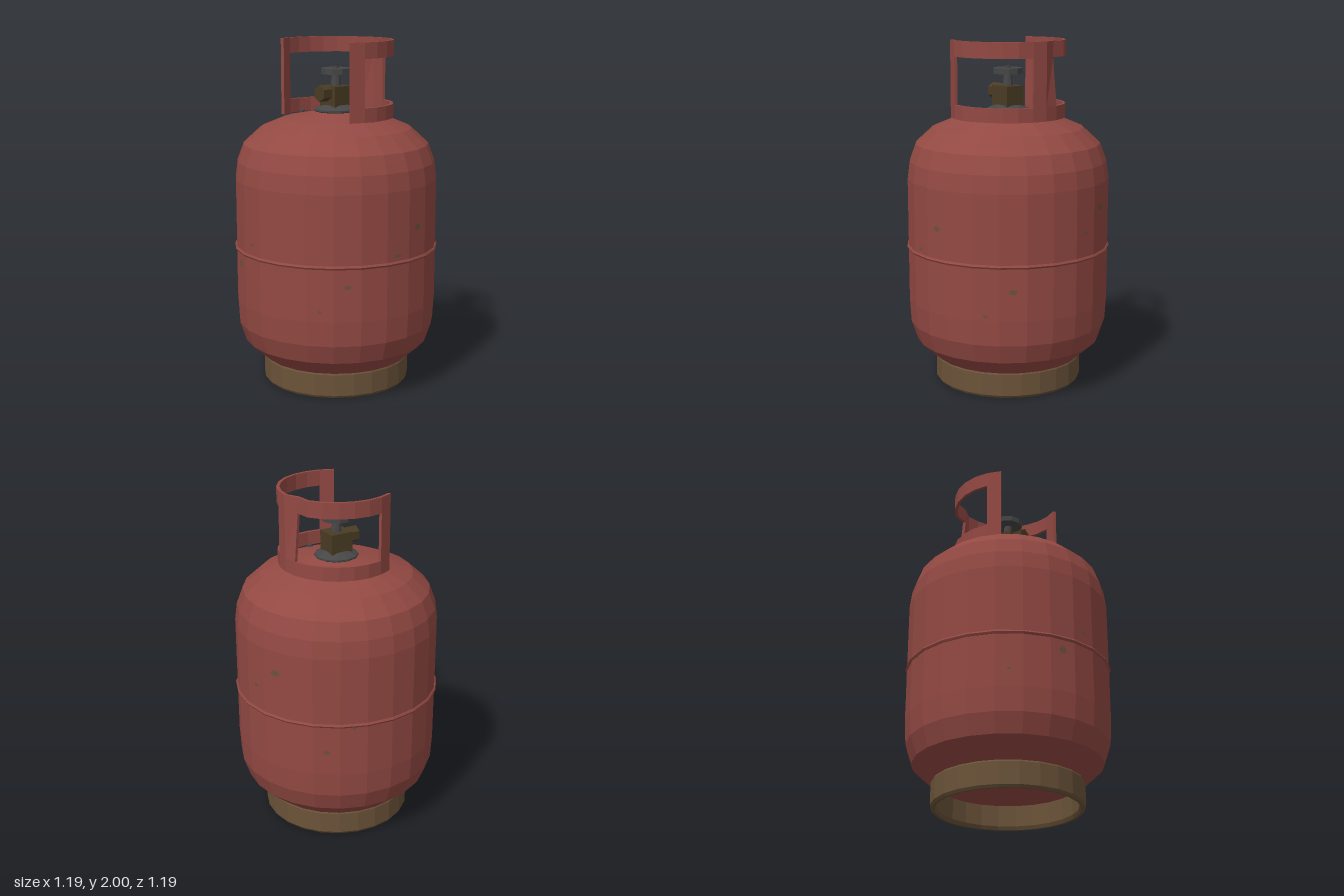
import * as THREE from 'three';
import { mergeGeometries } from 'three/addons/utils/BufferGeometryUtils.js';

const SIDES = 24;
const BODY_R = 0.585;
const DEG = Math.PI / 180;

const paint = (name, color) => {
  const m = new THREE.MeshStandardMaterial({ color });
  m.name = name;
  return m;
};

// Gives every face its own normal for the faceted look
function faceted(geometry) {
  const g = geometry.index ? geometry.toNonIndexed() : geometry;
  g.computeVertexNormals();
  return g;
}

const lathe = (points, sides = SIDES) =>
  faceted(new THREE.LatheGeometry(points.map(([r, y]) => new THREE.Vector2(r, y)), sides));

const cylinder = (rTop, rBottom, y0, y1, sides) =>
  faceted(new THREE.CylinderGeometry(rTop, rBottom, y1 - y0, sides).translate(0, (y0 + y1) / 2, 0));

// Curved wall piece between two angles (degrees from +z toward +x)
function wall(a0, a1, y0, y1) {
  const g = new THREE.BoxGeometry(1, 1, 1, Math.round((a1 - a0) / 15), 1, 1).translate(0.5, 0.5, 0.5);
  const p = g.attributes.position;
  for (let i = 0; i < p.count; i++) {
    const angle = a0 + (a1 - a0) * p.getX(i);
    const y = y0 + (y1 - y0) * p.getY(i);
    let r = 0.313 + 0.018 * p.getZ(i);
    // Dent in the upper back of the guard
    if (Math.abs(angle - 195) < 1) r -= 0.025 * THREE.MathUtils.clamp((y - 1.64) / 0.27, 0, 1);
    p.setXYZ(i, r * Math.sin(angle * DEG), y, r * Math.cos(angle * DEG));
  }
  return faceted(g);
}

export function createModel() {
  const model = new THREE.Group();
  model.name = 'gasCylinder';

  const red = paint('redPaint', 0x934943);
  const brown = paint('rustyBrown', 0x6b5339);
  const bronze = paint('darkBronze', 0x4a3c24);
  const grey = paint('darkMetal', 0x474646);

  const add = (name, geometry, material, parent = model) => {
    const mesh = new THREE.Mesh(geometry, material);
    mesh.name = name;
    parent.add(mesh);
    return mesh;
  };

  // Tank
  add('tankBody', lathe([
    [0, 0.11], [0.3, 0.12], [0.43, 0.15], [0.54, 0.25], [0.577, 0.36], [BODY_R, 0.5],
    [BODY_R, 1.21], [0.572, 1.31], [0.535, 1.41], [0.437, 1.5], [0.305, 1.555], [0.12, 1.59], [0, 1.6],
  ]), red);
  add('weldBand', faceted(new THREE.TorusGeometry(0.583, 0.012, 6, SIDES).rotateX(Math.PI / 2).translate(0, 0.81, 0)), red);

  // Open foot ring
  add('footRing', lathe([
    [0.425, 0.15], [0.395, 0.15], [0.395, 0.02], [0.405, 0], [0.42, 0], [0.43, 0.015], [0.43, 0.14], [0.425, 0.15],
  ]), brown);

  // Guard collar: two open bands joined by three posts
  add('guardCollar', mergeGeometries([
    wall(60, 300, 1.56, 1.64),
    wall(60, 300, 1.91, 2),
    wall(60, 75, 1.64, 1.91),
    wall(165, 195, 1.64, 1.91),
    wall(285, 300, 1.64, 1.91),
  ]), red);

  // Valve
  const valve = new THREE.Group();
  valve.name = 'valve';
  model.add(valve);
  add('valveFlange', lathe([[0.1, 1.58], [0.125, 1.595], [0.125, 1.605], [0.07, 1.63], [0, 1.635]], 12), grey, valve);
  add('valveBlock', faceted(new THREE.BoxGeometry(0.125, 0.125, 0.135).translate(0, 1.675, 0)), bronze, valve);
  add('valveOutlet', faceted(new THREE.CylinderGeometry(0.047, 0.047, 0.1, 6).rotateX(Math.PI / 2).translate(0, 1.7, 0.08)), bronze, valve);
  add('valveStem', cylinder(0.022, 0.03, 1.735, 1.81, 8), grey, valve);
  add('handwheel', cylinder(0.086, 0.086, 1.805, 1.838, 10), grey, valve);
  add('wheelNut', cylinder(0.015, 0.015, 1.838, 1.848, 8), grey, valve);

  // Plugs on both shoulders
  for (const side of [-1, 1]) {
    add('shoulderPlug', cylinder(0.016, 0.016, 1.55, 1.572, 10).translate(side * 0.29, 0, 0), grey);
  }

  // Worn paint spots: facet angle, height, half width, half height
  const spots = [
    [-22.5, 0.74, 0.024, 0.022], [-7.5, 0.88, 0.024, 0.007], [52.5, 0.7, 0.02, 0.014],
    [37.5, 0.56, 0.012, 0.008], [-52.5, 0.6, 0.012, 0.007], [82.5, 0.85, 0.022, 0.009],
    [97.5, 0.99, 0.024, 0.016], [142.5, 0.67, 0.024, 0.016], [127.5, 0.53, 0.018, 0.008],
    [187.5, 0.96, 0.014, 0.01], [202.5, 1.08, 0.032, 0.018], [232.5, 0.64, 0.02, 0.014],
    [247.5, 0.79, 0.012, 0.008],
  ];
  const apothem = BODY_R * Math.cos(Math.PI / SIDES);
  for (const [angle, y, w, h] of spots) {
    const g = new THREE.CircleGeometry(1, 8).scale(w, h, 1).translate(0, y, apothem + 0.002).rotateY(angle * DEG);
    add('wornSpot', g, brown);
  }

  return model;
}
